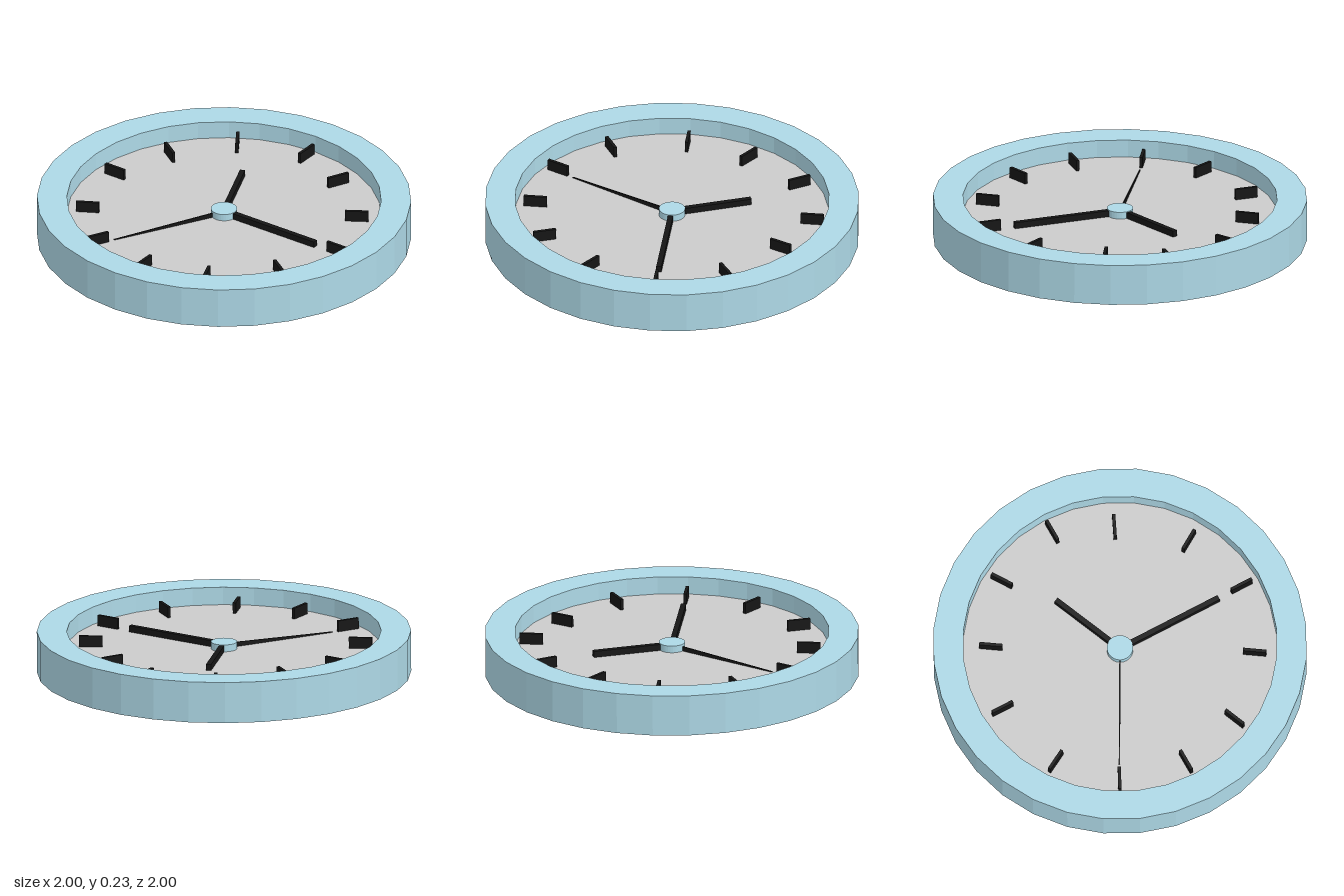
import * as THREE from 'three';

const SIDES = 32;
const FACE_Y = 0.128;
const blue = new THREE.MeshStandardMaterial({ color: 0xadd8e6, flatShading: true });
const grey = new THREE.MeshStandardMaterial({ color: 0xcccccc, flatShading: true });
const black = new THREE.MeshStandardMaterial({ color: 0x151515, flatShading: true });

function add(parent, name, geometry, material) {
  const mesh = new THREE.Mesh(geometry, material);
  mesh.name = name;
  parent.add(mesh);
  return mesh;
}

// A bar lying on the dial, from the centre out to (x, z); tipHeight tapers its far end
function addHand(parent, name, x, z, width, height, tipHeight = height) {
  const length = Math.hypot(x, z);
  const geometry = new THREE.BoxGeometry(length, height, width);
  geometry.translate(length / 2, height / 2, 0);
  const p = geometry.attributes.position;
  for (let i = 0; i < p.count; i++) {
    if (p.getX(i) > length / 2 && p.getY(i) > height / 2) p.setY(i, tipHeight);
  }
  geometry.computeVertexNormals();
  const hand = add(parent, name, geometry, black);
  hand.position.y = FACE_Y;
  hand.rotation.y = Math.atan2(-z, x);
}

export function createModel() {
  const clock = new THREE.Group();
  clock.name = 'wallClock';

  // Case: closed back, outer wall, flat rim and inner wall
  const profile = [[0, 0], [1, 0], [1, 0.225], [0.84, 0.225], [0.84, FACE_Y]]
    .map(([r, y]) => new THREE.Vector2(r, y));
  add(clock, 'case', new THREE.LatheGeometry(profile, SIDES), blue);

  // Dial
  const dial = add(clock, 'dial', new THREE.CircleGeometry(0.84, SIDES), grey);
  dial.rotation.x = -Math.PI / 2;
  dial.position.y = FACE_Y;

  // Hour marks, placed slightly unevenly by hand: x, z, angle in degrees
  const marks = new THREE.Group();
  marks.name = 'hourMarks';
  clock.add(marks);
  const places = [
    [0, -0.715, 90], [0.34, -0.6, 56], [0.64, -0.37, 33], [0.755, 0, 0],
    [0.62, 0.305, -25], [0.36, 0.615, -58], [0, 0.74, 90], [-0.365, 0.62, 56],
    [-0.645, 0.345, 22], [-0.735, 0, 0], [-0.655, -0.36, -27], [-0.4, -0.61, -61],
  ];
  const markGeometry = new THREE.BoxGeometry(0.125, 0.06, 0.017);
  for (const [x, z, degrees] of places) {
    const mark = add(marks, 'hourMark', markGeometry, black);
    mark.position.set(x, FACE_Y + 0.03, z);
    mark.rotation.y = THREE.MathUtils.degToRad(degrees);
  }

  // Hands
  addHand(clock, 'hourHand', 0.405, -0.168, 0.028, 0.034);
  addHand(clock, 'minuteHand', 0, 0.6, 0.028, 0.034);
  addHand(clock, 'secondHand', -0.57, -0.315, 0.007, 0.028, 0.004);

  // Hub cap
  const hub = add(clock, 'hub', new THREE.CylinderGeometry(0.07, 0.07, 0.038, SIDES), blue);
  hub.position.y = FACE_Y + 0.019;

  // The whole clock leans a touch toward +x
  clock.rotation.z = -0.004;
  clock.position.y = 0.004;
  const model = new THREE.Group();
  model.add(clock);
  return model;
}
